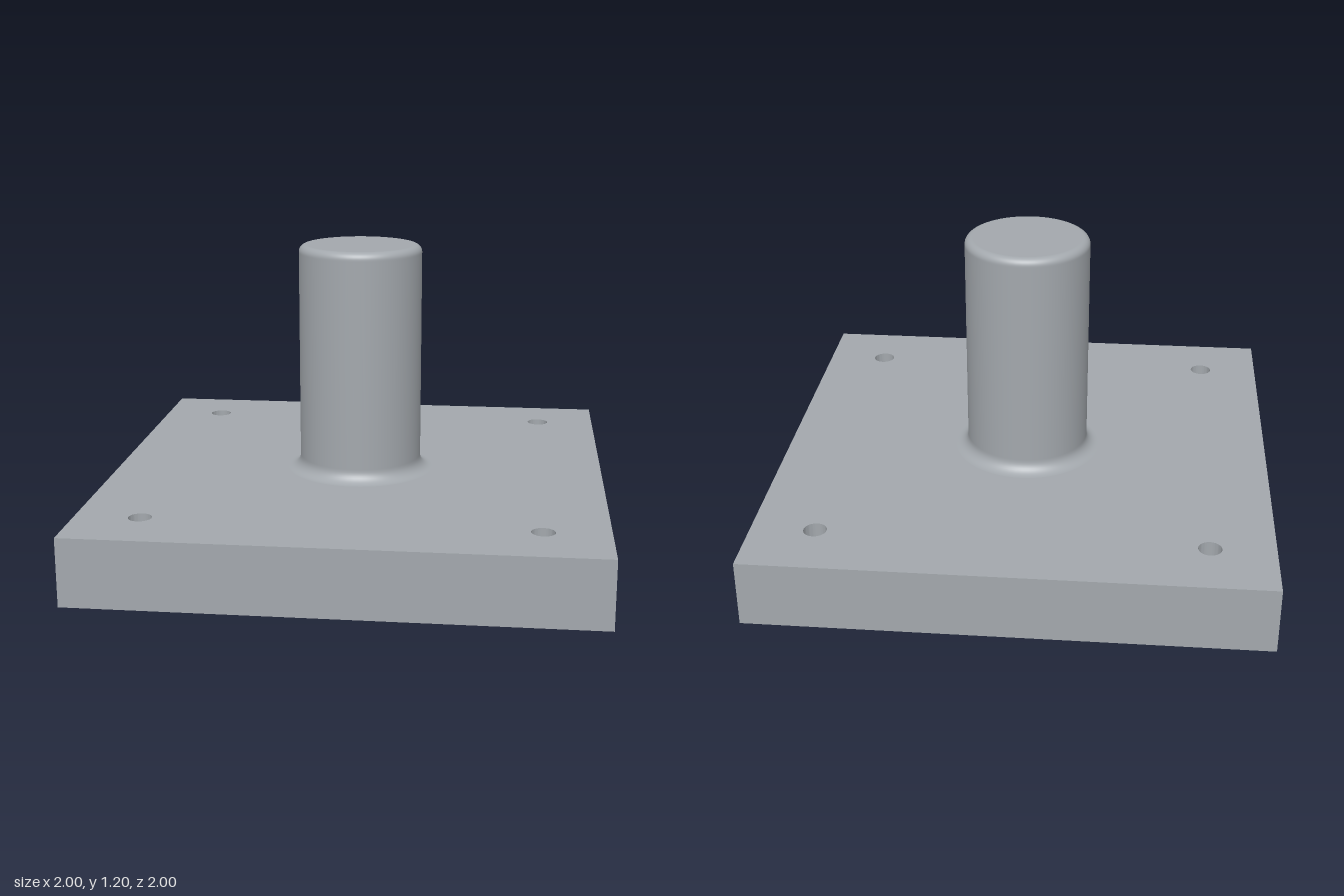
import * as THREE from 'three';
import { toCreasedNormals } from 'three/addons/utils/BufferGeometryUtils.js';

const PLATE_TOP = 0.267, POST_TOP = 1.2, POST_R = 0.25;
const FILLET = 0.05, ROUND = 0.03, HOLE_R = 0.045, HOLE_POS = 0.75;

// Points along a circular arc from angle a0 to a1
function arc(cx, cy, r, a0, a1, steps = 10) {
  return Array.from({ length: steps + 1 }, (_, i) => {
    const a = a0 + ((a1 - a0) * i) / steps;
    return new THREE.Vector2(cx + r * Math.cos(a), cy + r * Math.sin(a));
  });
}

export function createModel() {
  const model = new THREE.Group();
  model.name = 'mountingPost';
  const metal = new THREE.MeshStandardMaterial({ color: 0xa3a8ad });
  metal.name = 'grey metal';

  const add = (name, geometry, parent) => {
    const mesh = new THREE.Mesh(geometry, metal);
    mesh.name = name;
    parent.add(mesh);
    return mesh;
  };

  // Square base plate with four bolt holes
  const outline = new THREE.Shape([
    new THREE.Vector2(-1, -1), new THREE.Vector2(1, -1),
    new THREE.Vector2(1, 1), new THREE.Vector2(-1, 1),
  ]);
  for (const x of [-HOLE_POS, HOLE_POS]) {
    for (const y of [-HOLE_POS, HOLE_POS]) {
      outline.holes.push(new THREE.Path().absarc(x, y, HOLE_R, 0, Math.PI * 2, true));
    }
  }
  const plate = new THREE.ExtrudeGeometry(outline, {
    depth: PLATE_TOP, bevelEnabled: false, curveSegments: 32,
  });
  plate.rotateX(-Math.PI / 2);
  add('basePlate', toCreasedNormals(plate, Math.PI / 6), model);

  // Round post: concave fillet at the foot, rounded rim at the top
  const post = new THREE.Group();
  post.name = 'post';
  model.add(post);
  const foot = PLATE_TOP + FILLET, rim = POST_TOP - ROUND;
  const profile = [
    ...arc(POST_R + FILLET, foot, FILLET, Math.PI * 1.5, Math.PI),
    new THREE.Vector2(POST_R, foot + 0.005),
    new THREE.Vector2(POST_R, rim - 0.005),
    ...arc(POST_R - ROUND, rim, ROUND, 0, Math.PI / 2),
  ];
  add('postSide', new THREE.LatheGeometry(profile, 64), post);

  // Flat end of the post
  const cap = new THREE.CircleGeometry(POST_R - ROUND, 64);
  cap.rotateX(-Math.PI / 2);
  add('postTop', cap, post).position.y = POST_TOP;

  return model;
}
